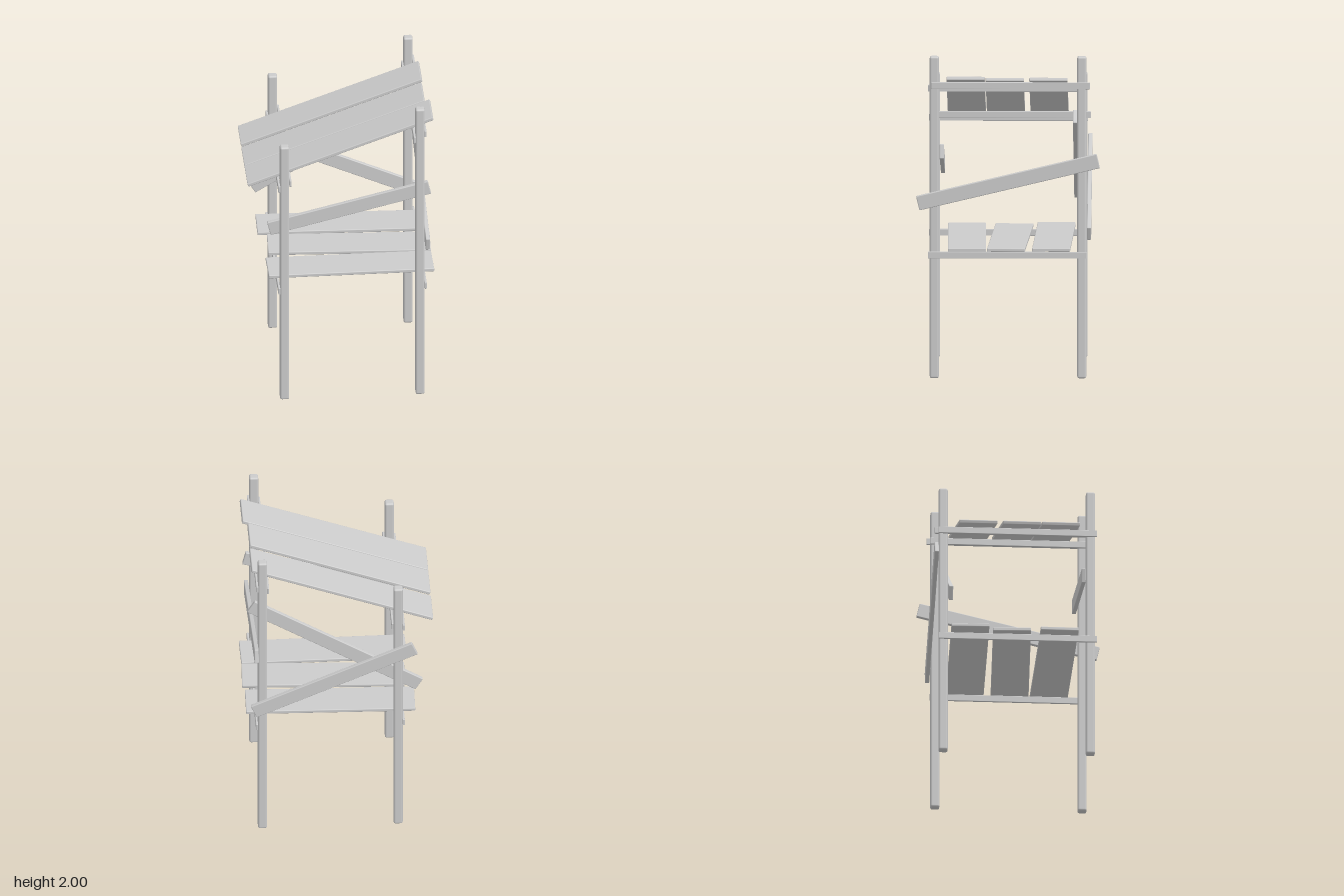
import * as THREE from 'three';
import { RoundedBoxGeometry } from 'three/addons/geometries/RoundedBoxGeometry.js';

const material = new THREE.MeshStandardMaterial({ color: 0xcccccc });

// A timber with slightly eased edges: size, centre and rotation.
function timber(parent, name, size, position, rotation = [0, 0, 0], ease = 0.005) {
  const mesh = new THREE.Mesh(new RoundedBoxGeometry(...size, 2, ease), material);
  mesh.name = name;
  mesh.position.set(...position);
  mesh.rotation.set(...rotation);
  parent.add(mesh);
}

function subgroup(parent, name) {
  const group = new THREE.Group();
  group.name = name;
  parent.add(group);
  return group;
}

export function createModel() {
  const model = new THREE.Group();
  model.name = 'woodenStand';
  const rad = THREE.MathUtils.degToRad;

  // Four posts, the pair on the left side being taller
  const posts = subgroup(model, 'posts');
  for (const [x, height] of [[-0.36, 1.77], [0.475, 2]]) {
    for (const z of [0.453, -0.453]) {
      timber(posts, 'post', [0.056, height, 0.056], [x, height / 2, z], [0, 0, 0], 0.012);
    }
  }

  // Thin rails along the depth: one outside each post pair for the floor,
  // two clamping each post pair for the roof
  const rails = subgroup(model, 'rails');
  for (const [name, x, y, z] of [
    ['floorRail', -0.394, 0.768, 0.005], ['floorRail', 0.509, 0.768, 0.005],
    ['roofRail', -0.394, 1.483, 0.004], ['roofRail', -0.324, 1.511, -0.015],
    ['roofRail', 0.441, 1.795, 0.004], ['roofRail', 0.509, 1.822, -0.015],
  ]) {
    timber(rails, name, [0.013, 0.042, 0.975], [x, y, z], [0, 0, 0], 0.003);
  }

  // Floor boards, laid a little askew
  const floor = subgroup(model, 'floor');
  for (const [length, x, z, turn] of [
    [1.04, 0.048, -0.278, -0.025],
    [1.0, 0.075, -0.01, -0.045],
    [1.02, 0.06, 0.256, 0.008],
  ]) {
    timber(floor, 'floorBoard', [length, 0.022, 0.234], [x, 0.809, z], [0, turn, 0]);
  }

  // Sloping roof boards, flush along the low edge
  const roof = subgroup(model, 'roof');
  roof.position.set(-0.579, 1.458, 0);
  roof.rotation.z = rad(20.1);
  for (const [length, z] of [[1.187, -0.248], [1.182, 0.02], [1.216, 0.26]]) {
    timber(roof, 'roofBoard', [length, 0.022, 0.235], [length / 2, 0, z]);
  }

  // Slanted braces across the front, the back and the left side
  const braces = subgroup(model, 'braces');
  for (const [name, length, x, y, z, tilt] of [
    ['frontBrace', 1.02, 0.042, 1.294, 0.407, 13.97],
    ['backInnerBrace', 1.21, 0.025, 1.324, -0.412, 31.2],
    ['backOuterBrace', 1.083, 0.036, 1.122, -0.498, -23.7],
  ]) {
    timber(braces, name, [length, 0.09, 0.026], [x, y, z], [0, 0, rad(tilt)]);
  }
  timber(braces, 'sideBrace', [0.026, 0.09, 1.14], [0.516, 1.224, 0], [rad(13.4), 0, 0]);

  return model;
}
